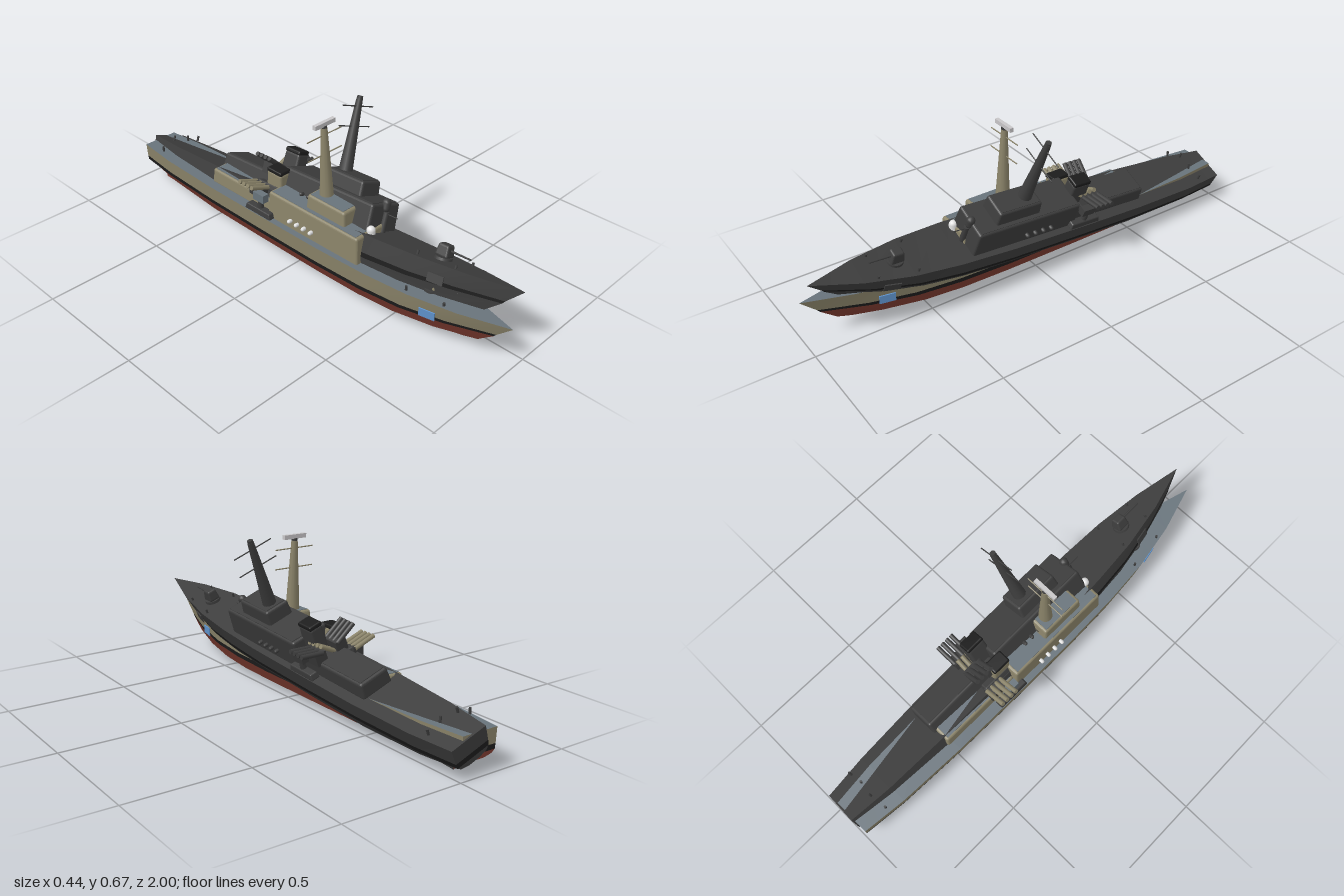
import * as THREE from 'three';
import { toCreasedNormals } from 'three/addons/utils/BufferGeometryUtils.js';
import { RoundedBoxGeometry } from 'three/addons/geometries/RoundedBoxGeometry.js';

const mat = (name, color) => {
  const m = new THREE.MeshStandardMaterial({ color });
  m.name = name;
  return m;
};

// Hull stations from stern to bow, with half widths and row heights
const STATION = [-0.99, -0.8, -0.5, -0.2, 0.15, 0.4, 0.6, 0.8, 1];
const WIDTH = [0.08, 0.1, 0.112, 0.115, 0.115, 0.108, 0.093, 0.058, 0];
const ROWS = [ // from keel to deck: width factor, z of the stem, heights
  { f: 0.3, stem: 0.8, y: [0.06, 0.025, 0, 0, 0, 0, 0.005, 0.02, 0.045] },
  { f: 0.74, stem: 0.86, y: [0.068, 0.045, 0.03, 0.03, 0.03, 0.03, 0.036, 0.048, 0.065] },
  { f: 0.92, stem: 0.925, y: [0.08, 0.078, 0.076, 0.075, 0.075, 0.077, 0.085, 0.1, 0.117] },
  { f: 0.95, stem: 0.935, y: [0.1, 0.098, 0.096, 0.095, 0.095, 0.097, 0.103, 0.115, 0.129] },
  { f: 1, stem: 1, y: [0.16, 0.16, 0.162, 0.164, 0.166, 0.169, 0.174, 0.181, 0.19] },
].map(({ f, stem, y }) => STATION.map((z, i) =>
  [WIDTH[i] * f, y[i], z > 0 ? z * stem : z]));

const flip = (row) => row.map(([x, y, z]) => [-x, y, z]);

// Strip of quads between a lower and an upper row
function ribbon(out, lower, upper) {
  for (let i = 0; i < lower.length - 1; i++) {
    out.push(...lower[i], ...upper[i], ...lower[i + 1]);
    out.push(...upper[i], ...upper[i + 1], ...lower[i + 1]);
  }
}

function stripGeometry(positions) {
  const g = new THREE.BufferGeometry();
  g.setAttribute('position', new THREE.Float32BufferAttribute(positions, 3));
  g.computeVertexNormals();
  return toCreasedNormals(g, 0.35);
}

// Rounded block whose top is narrower than its base
function house(w, h, d, taperX, taperZ, r = 0.01) {
  const g = new RoundedBoxGeometry(w, h, d, 2, r);
  const p = g.attributes.position;
  for (let i = 0; i < p.count; i++) {
    const t = p.getY(i) / h + 0.5;
    p.setX(i, p.getX(i) * (1 - taperX * t));
    p.setZ(i, p.getZ(i) * (1 - taperZ * t));
  }
  g.computeVertexNormals();
  return g;
}

function buildShip(c, withRadar) {
  const ship = new THREE.Group();
  const add = (name, geo, material, x, y, z) => {
    const m = new THREE.Mesh(geo, material);
    m.name = name;
    m.position.set(x, y, z);
    ship.add(m);
    return m;
  };
  const box = (w, h, d) => new THREE.BoxGeometry(w, h, d);
  const cyl = (top, bottom, h, n = 12) => new THREE.CylinderGeometry(top, bottom, h, n);

  // Hull bands with their part of the transom
  const band = (name, first, last, material) => {
    const out = [];
    for (let r = first; r < last; r++) {
      const a = ROWS[r], b = ROWS[r + 1];
      ribbon(out, a, b);
      ribbon(out, flip(b), flip(a));
      ribbon(out, [flip(a)[0], a[0]], [flip(b)[0], b[0]]);
    }
    if (first === 0) ribbon(out, flip(ROWS[0]), ROWS[0]);
    add(name, stripGeometry(out), material, 0, 0, 0);
  };
  band('lowerHull', 0, 2, c.bottom);
  band('waterlineStripe', 2, 3, c.stripe);
  band('upperHull', 3, 4, c.side);
  const deck = [];
  ribbon(deck, ROWS[4], flip(ROWS[4]));
  add('mainDeck', stripGeometry(deck), c.deck, 0, 0, 0);

  // Deckhouses and their roofs
  add('deckhouse', house(0.176, 0.125, 0.5, 0.06, 0.03), c.side, 0, 0.2175, 0.095);
  add('deckhouseRoof', box(0.148, 0.004, 0.46), c.deck, 0, 0.28, 0.095);
  add('bridge', house(0.118, 0.07, 0.21, 0.08, 0.06), c.side, 0, 0.305, 0.145);
  add('bridgeRoof', box(0.092, 0.004, 0.175), c.deck, 0, 0.34, 0.145);
  add('aftHouse', house(0.14, 0.068, 0.38, 0.08, 0.02), c.side, 0, 0.189, -0.335);
  add('aftHouseRoof', box(0.112, 0.004, 0.35), c.deck, 0, 0.223, -0.335);

  // Mast with yards
  add('mast', cyl(0.013, 0.029, 0.295, 12), c.side, 0, 0.4825, 0.092).rotation.x = -0.05;
  add('mastCap', cyl(0.012, 0.012, 0.012), c.fitting, 0, 0.634, 0.085);
  for (const [y, z] of [[0.518, 0.09], [0.599, 0.086]])
    add('yard', cyl(0.0025, 0.0025, 0.182, 6), c.side, 0, y, z).rotation.z = Math.PI / 2;
  if (withRadar) add('radarBar', box(0.106, 0.018, 0.016), c.radar, 0, 0.647, 0.085);

  // Funnel
  add('funnel', house(0.066, 0.13, 0.09, 0.15, 0.1), c.side, 0, 0.265, -0.175);
  add('funnelCap', house(0.06, 0.018, 0.084, 0.05, 0.05, 0.006), c.stripe, 0, 0.335, -0.175);

  // Bow gun
  add('gunBase', cyl(0.034, 0.036, 0.014, 16), c.fitting, 0, 0.179, 0.645);
  add('gunTurret', house(0.052, 0.048, 0.06, 0.25, 0.25, 0.008), c.side, 0, 0.21, 0.645);
  add('gunBarrel', cyl(0.0035, 0.0045, 0.1, 8), c.fitting, 0, 0.214, 0.71).rotation.x = Math.PI / 2;

  // Radome and light gun ahead of the bridge
  add('radomeStand', cyl(0.012, 0.014, 0.08), c.side, 0, 0.21, 0.345);
  add('radome', new THREE.CapsuleGeometry(0.018, 0.02, 4, 12), c.white, 0, 0.274, 0.335);
  add('lightGunBarrel', cyl(0.002, 0.002, 0.06, 6), c.fitting, 0, 0.243, 0.372).rotation.x = Math.PI / 2;

  for (const s of [-1, 1]) {
    // Launcher tubes pointing outboard
    for (let i = 0; i < 4; i++)
      add('launcherTube', cyl(0.0095, 0.0095, 0.1, 10), c.side, s * 0.083, 0.274, -0.2 - i * 0.024)
        .rotation.z = -s * 1.19;
    add('launcherMount', box(0.05, 0.05, 0.085), c.fitting, s * 0.05, 0.238, -0.235);
    // Side platform and equipment box
    add('sidePlatform', house(0.04, 0.026, 0.15, 0.2, 0.1, 0.005), c.fitting, s * 0.094, 0.177, -0.19);
    add('boxPedestal', cyl(0.01, 0.014, 0.036, 8), c.fitting, s * 0.092, 0.205, -0.19);
    add('equipmentBox', box(0.03, 0.036, 0.06), c.deck, s * 0.09, 0.24, -0.19);
    // Life raft canisters
    for (let i = 0; i < 4; i++)
      add('lifeRaft', new THREE.CapsuleGeometry(0.0085, 0.008, 3, 8), c.white, s * 0.094, 0.203, -0.015 + i * 0.039)
        .rotation.z = Math.PI / 2;
    // Bow plate on the hull side
    const plate = add('bowPlate', box(0.005, 0.036, 0.065), c.blue, s * 0.0735, 0.118, 0.68);
    plate.rotation.set(0, -s * 0.2, -s * 0.06);
    // Bollards
    for (const [x, z] of [[0.07, -0.87], [0.074, 0.58], [0.054, 0.74]])
      add('bollard', cyl(0.005, 0.005, 0.024, 8), c.fitting, s * x, 0.18, z);
    // Rudder
    add('rudder', box(0.009, 0.055, 0.07), c.bottom, s * 0.03, 0.032, -0.875);
  }
  return ship;
}

export function createModel() {
  const tan = mat('tanPaint', 0x8a8369);
  const red = mat('redBottom', 0x7d3b30);
  const black = mat('blackStripe', 0x1c1c1c);
  const grey = mat('deckGrey', 0x68737b);
  const charcoal = mat('charcoal', 0x3d3d3d);
  const white = mat('whiteFittings', 0xe4e4e4);
  const radar = mat('radarGrey', 0xc8c6c8);
  const blue = mat('bluePlate', 0x5f93cc);

  const model = new THREE.Group();
  model.name = 'twoShips';

  const painted = buildShip({
    side: tan, bottom: red, stripe: black, deck: grey, white, radar, blue, fitting: charcoal,
  }, true);
  painted.name = 'paintedShip';
  painted.position.x = -0.09;

  // Charcoal ship, heeled over with its bow raised
  const dark = buildShip({
    side: charcoal, bottom: charcoal, stripe: black, deck: charcoal,
    white: charcoal, radar: charcoal, blue: charcoal, fitting: charcoal,
  }, false);
  dark.name = 'charcoalShip';
  dark.position.set(-0.09, 0.066, 0);
  dark.rotation.set(-0.064, 0, -0.384);

  model.add(painted, dark);
  return model;
}
